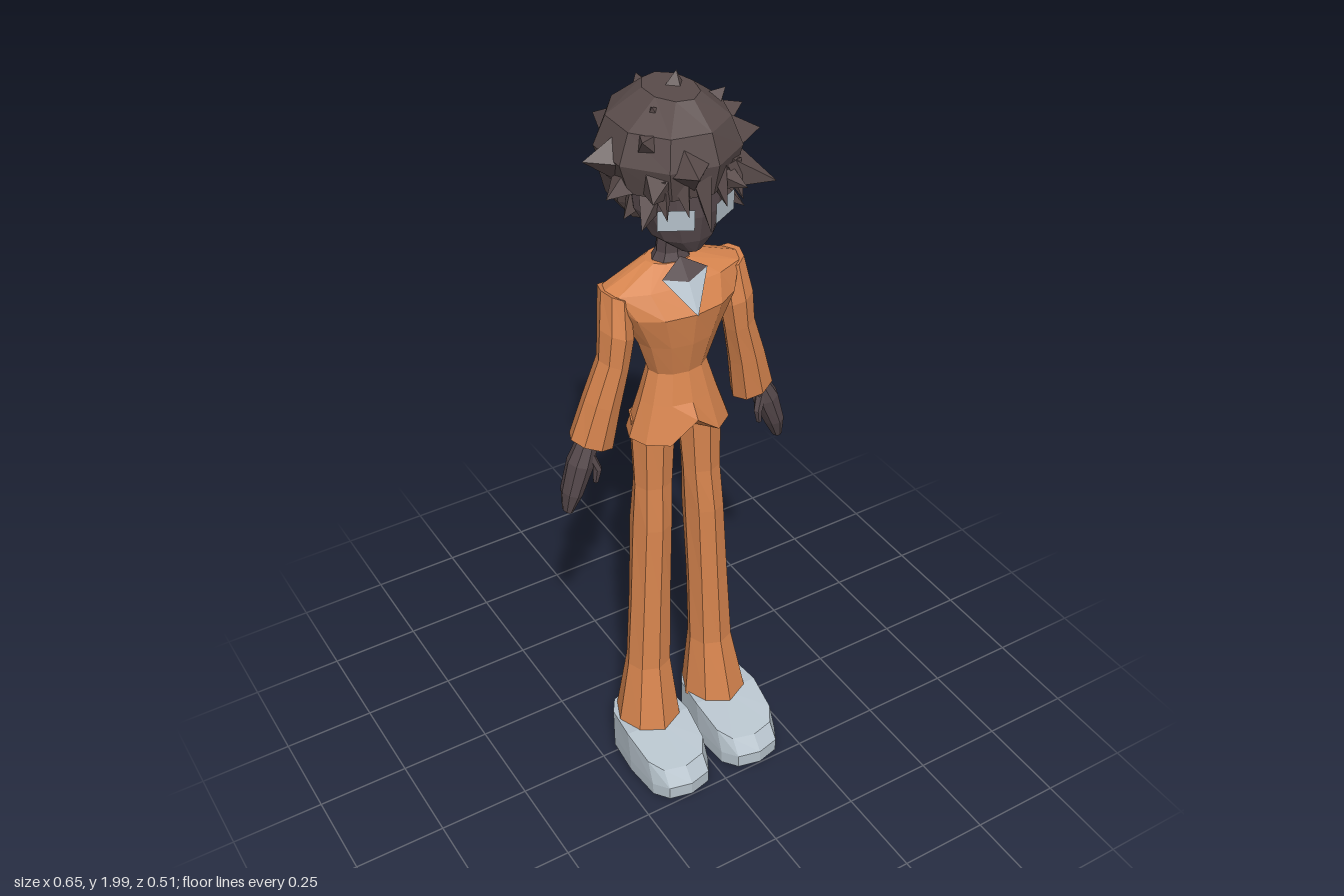
import * as THREE from 'three';

const mat = (name, color) => new THREE.MeshStandardMaterial({ name, color, flatShading: true, side: THREE.DoubleSide });

// Closed tube from rings [x, y, z, rx, rz], bottom to top.
// side mirrors x, slope tilts the rings, power < 1 squares off the outline.
function loft(rings, n, { side = 1, slope = 0, power = 1 } = {}) {
  const pos = [], idx = [];
  const bend = (v) => Math.sign(v) * Math.pow(Math.abs(v) < 1e-6 ? 0 : Math.abs(v), power);
  for (const [x, y, z, rx, rz] of rings) {
    for (let i = 0; i < n; i++) {
      const a = (i / n) * Math.PI * 2;
      const dx = bend(Math.cos(a)) * rx;
      pos.push(side * x + dx, y + dx * slope * side, z + bend(Math.sin(a)) * rz);
    }
  }
  for (let r = 0; r < rings.length - 1; r++) {
    for (let i = 0; i < n; i++) {
      const j = (i + 1) % n, a = r * n, b = a + n;
      idx.push(a + i, b + i, b + j, a + i, b + j, a + j);
    }
  }
  const last = (rings.length - 1) * n, c0 = pos.length / 3;
  for (const r of [rings[0], rings[rings.length - 1]]) pos.push(side * r[0], r[1], r[2]);
  for (let i = 0; i < n; i++) {
    const j = (i + 1) % n;
    idx.push(c0, i, j, c0 + 1, last + j, last + i);
  }
  return polygons(pos, idx);
}

function polygons(pos, idx) {
  const g = new THREE.BufferGeometry();
  g.setAttribute('position', new THREE.Float32BufferAttribute(pos, 3));
  g.setIndex(idx);
  g.computeVertexNormals();
  return g;
}

// Move vertices by a rule
function reshape(g, rule) {
  const p = g.attributes.position, v = new THREE.Vector3();
  for (let i = 0; i < p.count; i++) {
    v.fromBufferAttribute(p, i);
    rule(v);
    p.setXYZ(i, v.x, v.y, v.z);
  }
  g.computeVertexNormals();
  return g;
}

// Four-sided pointed lock of hair
function spike(base, tip, r) {
  const dir = tip.clone().sub(base), len = dir.length();
  const g = new THREE.ConeGeometry(r, len, 4, 1);
  g.translate(0, len / 2, 0);
  g.applyQuaternion(new THREE.Quaternion().setFromUnitVectors(new THREE.Vector3(0, 1, 0), dir.normalize()));
  return g.translate(base.x, base.y, base.z);
}

export function createModel() {
  const root = new THREE.Group();
  root.name = 'figure';
  const cloth = mat('orange cloth', 0xd6844e);
  const skin = mat('dark skin', 0x54474a);
  const hairMat = mat('brown hair', 0x594b4a);
  const pale = mat('pale grey', 0xb6c2cb);
  const add = (name, g, m, parent = root) => {
    const mesh = new THREE.Mesh(g, m);
    mesh.name = name;
    parent.add(mesh);
    return mesh;
  };

  // Flared jacket with a notch at the front of the hem
  const jacket = loft([
    [0, 1.09, -0.008, 0.14, 0.098], [0, 1.19, -0.01, 0.105, 0.075], [0, 1.27, -0.013, 0.08, 0.058],
    [0, 1.36, -0.008, 0.11, 0.073], [0, 1.45, -0.01, 0.155, 0.09],
    [0, 1.51, -0.035, 0.192, 0.075], [0, 1.555, -0.045, 0.065, 0.045],
  ], 12);
  add('jacket', reshape(jacket, (v) => {
    if (v.y < 1.1 && v.z > 0.08 && Math.abs(v.x) < 0.01) v.y = 1.15;
  }), cloth);

  // Shirt and bare neckline inside the collar
  add('shirt', polygons([0, 1.45, 0.087, 0.062, 1.537, 0.026, 0, 1.522, 0.044, -0.062, 1.537, 0.026],
    [0, 1, 2, 0, 2, 3]), pale);
  add('neckline', polygons([0, 1.522, 0.044, 0.062, 1.537, 0.026, 0, 1.572, 0.004, -0.062, 1.537, 0.026],
    [0, 1, 2, 0, 2, 3]), skin);
  add('neck', loft([[0, 1.54, -0.04, 0.06, 0.045], [0, 1.575, -0.04, 0.038, 0.032], [0, 1.68, -0.035, 0.034, 0.03]], 8), skin);

  // Trouser seat
  add('seat', loft([[0, 1.08, -0.02, 0.06, 0.045], [0, 1.13, -0.02, 0.115, 0.062], [0, 1.2, -0.012, 0.09, 0.06]], 8), cloth);

  for (const side of [1, -1]) {
    const tag = side > 0 ? 'left' : 'right';

    // Flared trouser leg
    add(tag + 'Leg', loft([
      [0.108, 0.13, 0.01, 0.092, 0.092], [0.099, 0.33, 0.0, 0.063, 0.06], [0.09, 0.55, -0.004, 0.057, 0.058],
      [0.079, 0.8, -0.012, 0.053, 0.062], [0.072, 0.93, -0.012, 0.052, 0.05], [0.067, 1.13, -0.02, 0.06, 0.06],
    ], 8, { side }), cloth);

    // Chunky shoe sloping to the toe
    const shoe = loft([
      [0.112, 0.01, 0.085, 0.097, 0.168], [0.112, 0.05, 0.085, 0.098, 0.168], [0.112, 0.14, 0.07, 0.097, 0.15],
    ], 12, { side, power: 0.65 });
    add(tag + 'Shoe', reshape(shoe, (v) => {
      if (v.y > 0.1) v.y -= Math.max(0, v.z - 0.08) * 0.3;
      else if (v.z > 0.2) v.y += 0.008;
    }), pale);

    // Sleeve widening to a tilted cuff
    add(tag + 'Sleeve', loft([
      [0.235, 1.105, -0.03, 0.055, 0.055], [0.208, 1.22, -0.02, 0.046, 0.05], [0.178, 1.33, -0.012, 0.038, 0.045],
      [0.167, 1.41, -0.015, 0.042, 0.052], [0.158, 1.505, -0.035, 0.034, 0.05],
    ], 8, { side, slope: 0.4 }), cloth);

    // Hand and thumb
    add(tag + 'Hand', loft([
      [0.314, 0.925, -0.02, 0.012, 0.018], [0.3, 0.98, -0.02, 0.026, 0.034], [0.272, 1.06, -0.02, 0.034, 0.036],
      [0.238, 1.14, -0.025, 0.022, 0.024],
    ], 8, { side, slope: 0.3 }), skin);
    add(tag + 'Thumb', loft([
      [0.242, 1.0, 0.0, 0.007, 0.008], [0.237, 1.04, 0.002, 0.012, 0.012], [0.255, 1.09, -0.01, 0.014, 0.016],
    ], 6, { side }), skin);

    // Eye plate angled around the face
    const e = [[0.028, 1.7, 0.112], [0.102, 1.7, 0.072], [0.102, 1.752, 0.074], [0.028, 1.752, 0.114]];
    add(tag + 'Eye', polygons(e.flatMap(([x, y, z]) => [x * side, y, z]),
      side > 0 ? [0, 1, 2, 0, 2, 3] : [0, 2, 1, 0, 3, 2]), pale);
  }

  // Head with a pointed chin
  add('head', loft([
    [0, 1.62, 0.04, 0.03, 0.035], [0, 1.655, 0.01, 0.08, 0.08], [0, 1.72, -0.015, 0.11, 0.115],
    [0, 1.8, -0.025, 0.115, 0.12], [0, 1.88, -0.03, 0.09, 0.1],
  ], 12), skin);

  // Hair: crown, nape and pointed locks
  const hair = new THREE.Group();
  hair.name = 'hair';
  root.add(hair);
  add('crown', loft([
    [0, 1.775, -0.045, 0.145, 0.155], [0, 1.85, -0.05, 0.17, 0.175], [0, 1.92, -0.05, 0.14, 0.15],
    [0.01, 1.972, -0.055, 0.06, 0.085],
  ], 9), hairMat, hair);
  add('nape', loft([
    [0, 1.655, -0.1, 0.08, 0.05], [0, 1.71, -0.105, 0.125, 0.085], [0, 1.8, -0.095, 0.15, 0.125],
  ], 9), hairMat, hair);
  const centre = new THREE.Vector3(0, 1.83, -0.05);
  const tips = [
    [-0.22, 1.85, -0.05, 0.08], [0.22, 1.84, -0.005, 0.09], [-0.08, 1.85, -0.255, 0.09], [0, 1.8, -0.25, 0.08],
    [0.075, 1.82, -0.26, 0.08], [0.185, 1.77, 0.12, 0.07], [-0.19, 1.77, 0.0, 0.07], [-0.14, 1.71, 0.07, 0.05],
    [0.14, 1.69, 0.06, 0.05], [0.15, 1.66, -0.03, 0.06], [-0.13, 1.69, -0.03, 0.06], [-0.05, 1.855, 0.165, 0.09],
    [0.1, 1.78, 0.13, 0.06], [0.035, 2.0, -0.07, 0.07], [-0.07, 1.965, 0.0, 0.07], [0.14, 1.95, -0.03, 0.08],
    [-0.13, 1.92, 0.06, 0.08], [0.2, 1.89, -0.05, 0.08], [0, 1.955, -0.19, 0.08], [0.06, 1.68, -0.17, 0.06],
    [-0.07, 1.67, -0.16, 0.06], [-0.02, 1.74, -0.22, 0.07], [-0.14, 1.8, 0.12, 0.07],
  ];
  for (const [x, y, z, r] of tips) {
    const tip = new THREE.Vector3(x, y, z);
    add('lock', spike(centre.clone().lerp(tip, 0.45), tip, r), hairMat, hair);
  }

  // Fringe over the forehead
  for (let i = -2; i <= 2; i++) {
    const x = i * 0.05, z = 0.1 - Math.abs(i) * 0.012;
    const drop = i === 0 ? 1.69 : 1.735;
    add('fringe', spike(new THREE.Vector3(x * 0.9, 1.82, z - 0.01), new THREE.Vector3(x + 0.008, drop, z + 0.025), 0.03), hairMat, hair);
  }
  return root;
}
